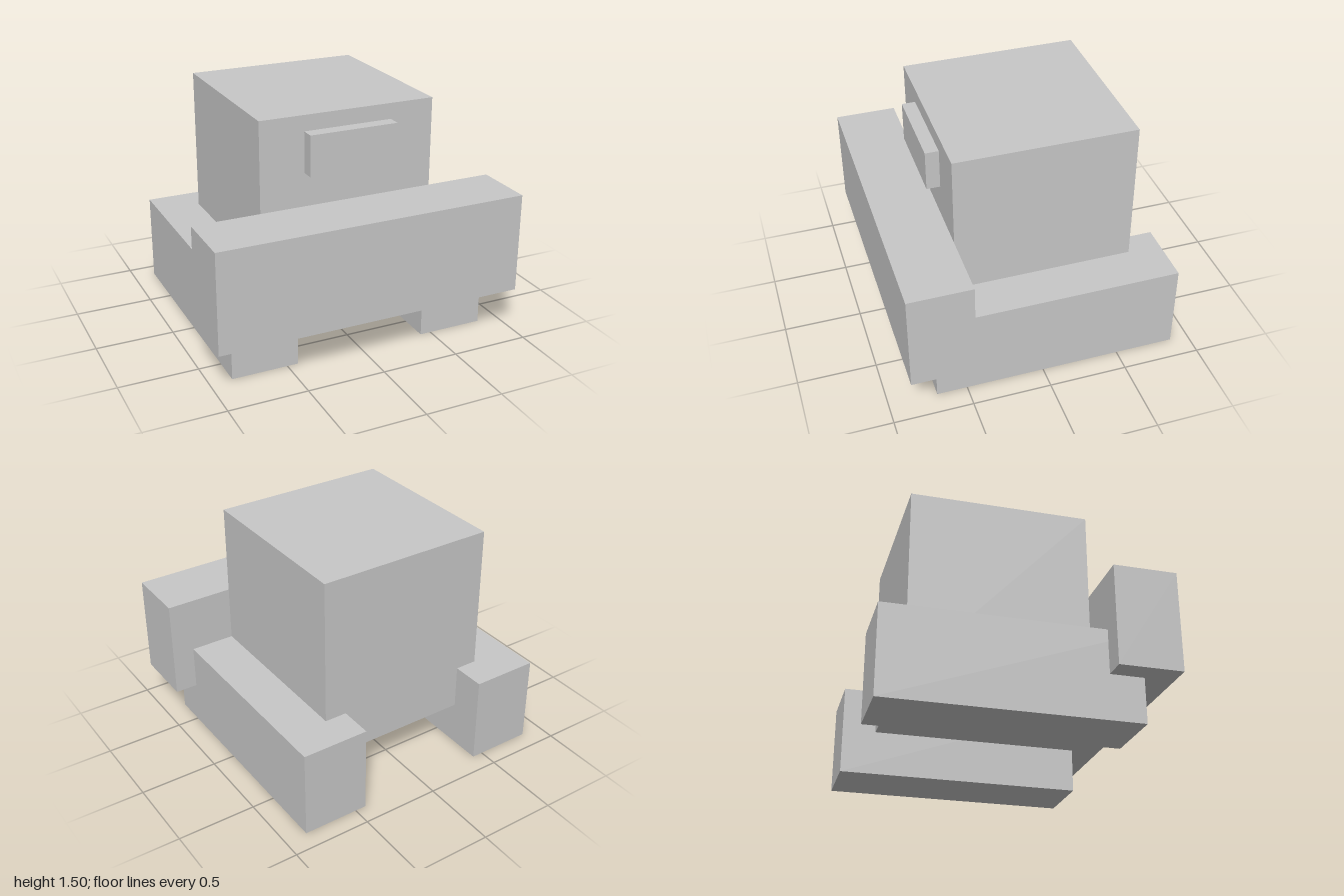
import * as THREE from 'three';

export function createModel() {
  const model = new THREE.Group();
  model.name = 'trackedVehicle';

  const lightGrey = new THREE.MeshStandardMaterial({ color: 0xc7c7c7 });
  lightGrey.name = 'lightGrey';

  // Adds a box given its minimum and maximum on each axis
  function block(name, [x0, x1], [y0, y1], [z0, z1]) {
    const mesh = new THREE.Mesh(new THREE.BoxGeometry(x1 - x0, y1 - y0, z1 - z0), lightGrey);
    mesh.position.set((x0 + x1) / 2, (y0 + y1) / 2, (z0 + z1) / 2);
    mesh.name = name;
    model.add(mesh);
  }

  // Cab and hull in one block
  block('body', [-0.571, 0.571], [0.286, 1.5], [-0.664, 0.479]);

  // Wide blade across the front
  block('frontBlade', [-1, 1], [0.286, 0.929], [0.479, 0.879]);

  // Raised panel on the front of the cab
  block('frontPanel', [-0.286, 0.286], [1.143, 1.4], [0.479, 0.564]);

  // Long tracks on either side
  block('leftTrack', [0.429, 0.857], [0, 0.571], [-0.879, 0.693]);
  block('rightTrack', [-0.857, -0.429], [0, 0.571], [-0.879, 0.693]);

  return model;
}
